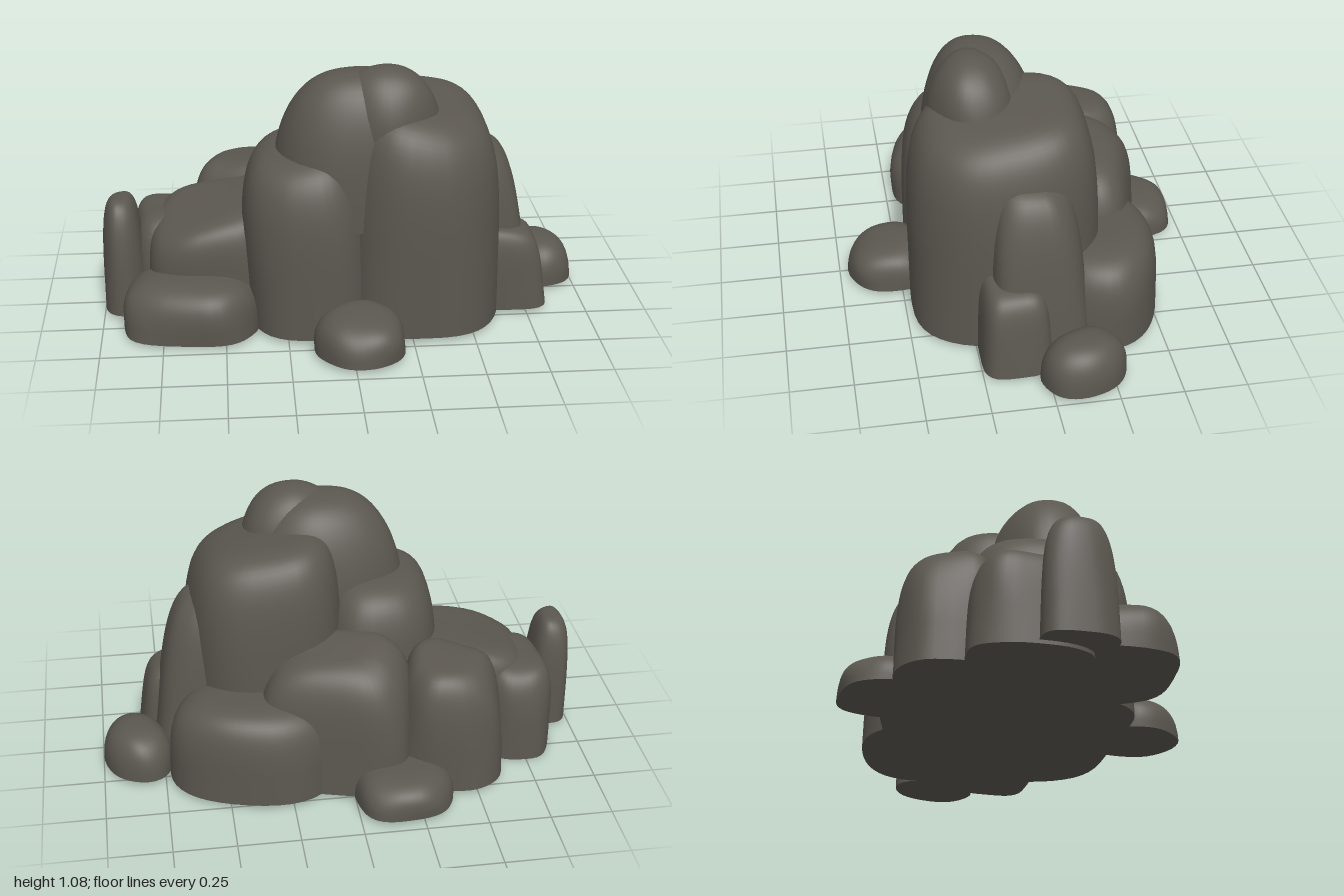
import * as THREE from 'three';

const stone = new THREE.MeshStandardMaterial({ color: 0x5b5750 });
stone.name = 'darkStone';

const SEG = 40, RINGS = 18;
const spow = (v, e) => Math.sign(v) * Math.pow(Math.abs(v), e);

// One boulder: a rounded, flat-bottomed superellipsoid with a few soft lumps.
// x, z: footprint ranges; y: bottom and top; square: 2 = round plan, larger = boxier;
// dome: 2 = half ellipsoid, larger = flatter top; taper: narrowing towards the top;
// slope: tilt of the top along x and z; lean: sideways shift of the top along x and z.
function boulder(name, { x, z, y, square = 2.4, dome = 3, taper = 0, slope = [0, 0],
  lean = [0, 0], turn = 0, seed = 1, lump = 0.025 }) {
  const cx = (x[0] + x[1]) / 2, cz = (z[0] + z[1]) / 2;
  const rx = (x[1] - x[0]) / 2, rz = (z[1] - z[0]) / 2, h = y[1] - y[0];
  const pos = [], idx = [];
  const c = Math.cos(turn), s = Math.sin(turn);
  const point = (r, t, a) => {
    const u = r * spow(Math.cos(a), 2 / square), v = r * spow(Math.sin(a), 2 / square);
    const k = (1 - taper * t) * (1 + lump * (Math.sin(3 * a + seed + 2 * t) + 0.7 * Math.sin(5 * a + seed * 2.3 - 3 * t)));
    const px = u * rx * k + lean[0] * t, pz = v * rz * k + lean[1] * t;
    const py = t * h * (1 + slope[0] * u + slope[1] * v + lump * 0.8 * r * Math.sin(4 * u + 3 * v + seed));
    pos.push(cx + c * px + s * pz, y[0] + py, cz - s * px + c * pz);
  };
  // sides and top
  for (let i = 0; i <= RINGS; i++) {
    const f = (i / RINGS) * Math.PI / 2;
    const r = Math.pow(Math.max(Math.cos(f), 0), 2 / dome), t = Math.pow(Math.sin(f), 2 / dome);
    for (let j = 0; j < SEG; j++) point(i === RINGS ? 0 : r, t, (j / SEG) * Math.PI * 2);
  }
  for (let i = 0; i < RINGS; i++) for (let j = 0; j < SEG; j++) {
    const a = i * SEG + j, b = i * SEG + (j + 1) % SEG;
    idx.push(a, a + SEG, b);
    if (i < RINGS - 1) idx.push(b, a + SEG, b + SEG);
  }
  // flat underside with its own vertices
  const base = pos.length / 3;
  for (let j = 0; j < SEG; j++) point(1, 0, (j / SEG) * Math.PI * 2);
  pos.push(cx, y[0], cz);
  for (let j = 0; j < SEG; j++) idx.push(base + SEG, base + j, base + (j + 1) % SEG);

  const geo = new THREE.BufferGeometry();
  geo.setAttribute('position', new THREE.Float32BufferAttribute(pos, 3));
  geo.setIndex(idx);
  geo.computeVertexNormals();
  const mesh = new THREE.Mesh(geo, stone);
  mesh.name = name;
  return mesh;
}

export function createModel() {
  const g = new THREE.Group();
  g.name = 'rockPile';
  const add = (name, o) => g.add(boulder(name, o));

  // tall core
  add('mainBoulder', { x: [-0.03, 0.63], z: [-0.29, 0.48], y: [0.02, 0.925], dome: 5.5, square: 2.6, taper: 0.02, slope: [-0.06, -0.04], seed: 1, lump: 0.012 });
  add('capBoulder', { x: [-0.3, 0.37], z: [-0.1, 0.39], y: [0.45, 1.055], dome: 2.7, square: 2.1, slope: [0.02, 0.04], seed: 2, lump: 0.012 });
  add('capKnob', { x: [-0.06, 0.38], z: [0.02, 0.37], y: [0.8, 1.083], dome: 2.2, square: 2, slope: [0, 0.05], seed: 3 });
  add('frontShoulder', { x: [-0.41, 0.12], z: [-0.25, 0.46], y: [0.02, 0.745], dome: 4.5, square: 2.6, lean: [-0.03, 0], slope: [0.04, 0], seed: 4, lump: 0.015 });

  // right flank
  add('rightSlab', { x: [0.36, 0.79], z: [-0.2, 0.2], y: [0.02, 0.735], dome: 4.5, square: 3.4, taper: 0.15, lean: [-0.06, 0.02], slope: [-0.06, 0], seed: 5, lump: 0.015 });
  add('rightFoot', { x: [0.5, 0.84], z: [-0.03, 0.25], y: [0.02, 0.365], dome: 6, square: 4, taper: 0.08, lean: [-0.03, 0], slope: [-0.06, 0], seed: 6, lump: 0.01 });
  add('rightPebble', { x: [0.72, 0.99], z: [-0.31, 0.04], y: [0.02, 0.2], dome: 2.7, square: 2.1, turn: 0.35, seed: 7, lump: 0.015 });

  // back
  add('backRightBoulder', { x: [0.04, 0.73], z: [-0.53, -0.04], y: [0.02, 0.395], dome: 4.5, square: 2.2, taper: 0.03, turn: -0.2, seed: 8, lump: 0.012 });
  add('backMiddleBoulder', { x: [-0.28, 0.38], z: [-0.51, -0.06], y: [0.02, 0.58], dome: 4.5, square: 3, taper: 0.08, slope: [-0.03, 0.09], turn: -0.3, seed: 9 });
  add('backLeftBoulder', { x: [-0.63, -0.2], z: [-0.55, -0.12], y: [0.02, 0.53], dome: 4.5, square: 2.8, taper: 0.08, slope: [0.06, 0.04], turn: -0.2, seed: 10 });
  add('backPebble', { x: [-0.39, 0.01], z: [-0.72, -0.34], y: [0.02, 0.16], dome: 2.8, square: 2.4, seed: 11 });

  // low left side
  add('leftLedge', { x: [-0.81, -0.24], z: [-0.27, 0.29], y: [0.02, 0.46], dome: 6.5, square: 3, slope: [0.15, -0.05], seed: 12, lump: 0.018 });
  add('leftBackBlock', { x: [-0.89, -0.56], z: [-0.34, 0.12], y: [0, 0.4], dome: 5, square: 2.8, taper: 0.06, seed: 13 });
  add('leftSpike', { x: [-1.0, -0.82], z: [-0.12, 0.17], y: [0.015, 0.49], dome: 4, square: 2.4, taper: 0.1, lean: [-0.01, -0.01], seed: 14, lump: 0.02 });
  add('leftFrontSlab', { x: [-0.92, -0.36], z: [0.04, 0.46], y: [0.015, 0.24], dome: 3.4, square: 2.8, turn: -0.15, slope: [0.03, 0], seed: 15 });

  // front
  add('frontPebble', { x: [-0.15, 0.21], z: [0.36, 0.71], y: [0.02, 0.18], dome: 3, square: 2.2, slope: [0, -0.1], seed: 16 });
  return g;
}
